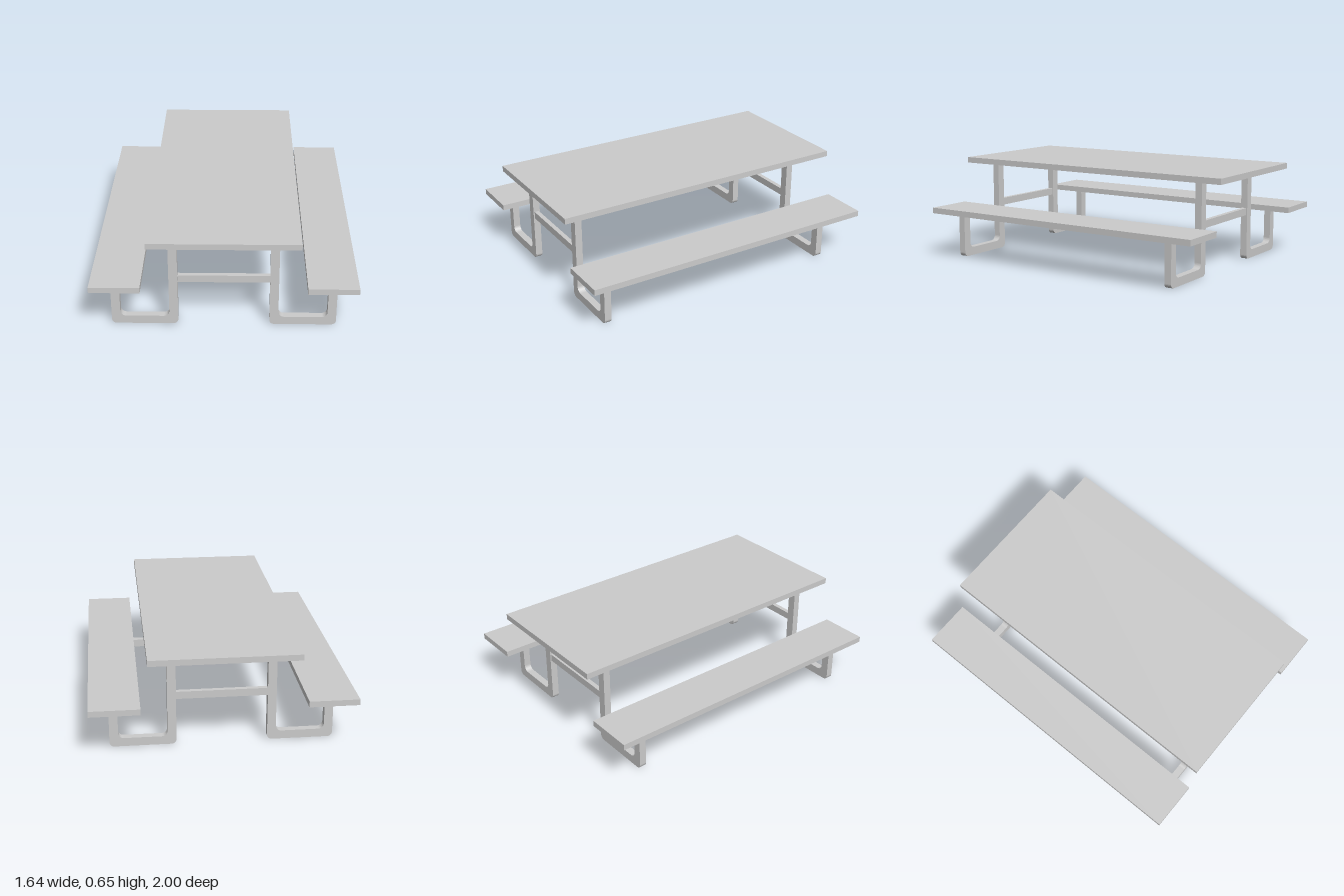
import * as THREE from 'three';

const material = new THREE.MeshStandardMaterial({ color: 0xcccccc });

function board(name, x0, x1, y0, y1, z0, z1) {
  const mesh = new THREE.Mesh(new THREE.BoxGeometry(x1 - x0, y1 - y0, z1 - z0), material);
  mesh.position.set((x0 + x1) / 2, (y0 + y1) / 2, (z0 + z1) / 2);
  mesh.name = name;
  return mesh;
}

// J-shaped leg: tall table post, foot bar and short seat post with rounded bends
function legGeometry(depth) {
  const inner = 0.285, outer = 0.701, w = 0.055, top = 0.613, seat = 0.304;
  const r = 0.03, ri = 0.035;
  const a = inner + w, b = outer - w;
  const s = new THREE.Shape();
  s.moveTo(inner, top);
  s.lineTo(inner, r);
  s.absarc(inner + r, r, r, Math.PI, Math.PI * 1.5, false);
  s.lineTo(outer - r, 0);
  s.absarc(outer - r, r, r, -Math.PI / 2, 0, false);
  s.lineTo(outer, seat);
  s.lineTo(b, seat);
  s.lineTo(b, w + ri);
  s.absarc(b - ri, w + ri, ri, 0, -Math.PI / 2, true);
  s.lineTo(a + ri, w);
  s.absarc(a + ri, w + ri, ri, -Math.PI / 2, -Math.PI, true);
  s.lineTo(a, top);
  return new THREE.ExtrudeGeometry(s, { depth, bevelEnabled: false, curveSegments: 6 });
}

export function createModel() {
  const model = new THREE.Group();
  model.name = 'picnicTable';

  // Table top and benches
  model.add(board('tableTop', -0.465, 0.463, 0.612, 0.65, -1, 1));
  model.add(board('leftBench', 0.508, 0.82, 0.303, 0.341, -1, 1));
  model.add(board('rightBench', -0.82, -0.508, 0.303, 0.341, -1, 1));

  // Two end frames, each with a mirrored pair of legs and a crossbar
  const depth = 0.046;
  const leg = legGeometry(depth);
  for (const [end, z] of [['front', 0.83], ['back', -0.802]]) {
    const frame = new THREE.Group();
    frame.name = end + 'Frame';
    const left = new THREE.Mesh(leg, material);
    left.name = 'leftLeg';
    left.position.set(-0.002, 0, z);
    const right = new THREE.Mesh(leg, material);
    right.name = 'rightLeg';
    right.rotation.y = Math.PI;
    right.position.set(-0.002, 0, z + depth);
    frame.add(left, right, board('crossbar', -0.289, 0.285, 0.302, 0.35, z + 0.008, z + depth - 0.008));
    model.add(frame);
  }
  return model;
}
